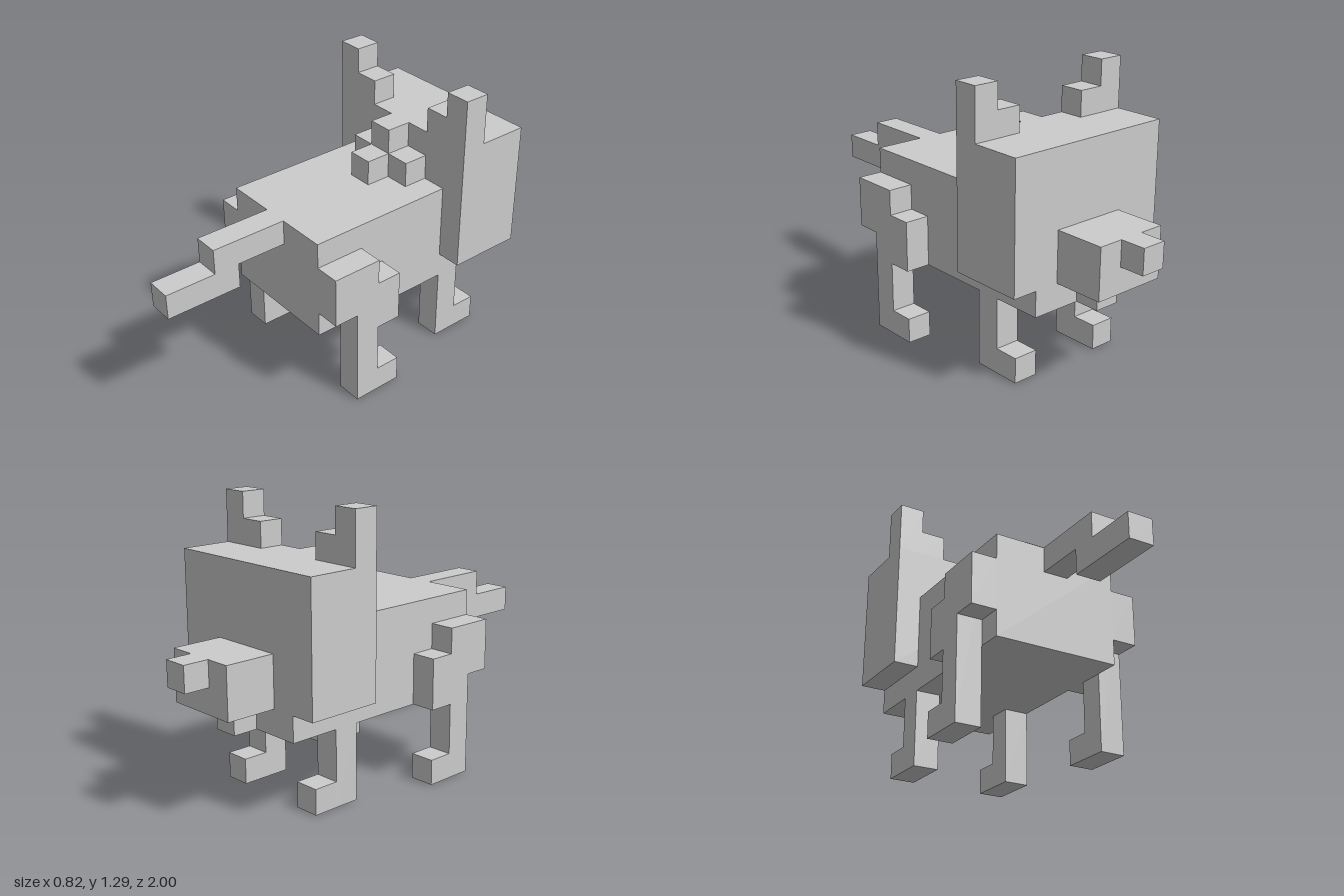
import * as THREE from 'three';

// One cell of the blocky animal: it is 17 cells long.
const U = 2 / 17;
const material = new THREE.MeshStandardMaterial({ color: 0xcccccc, flatShading: true });

// Block from ranges in cells; z is counted from the nose tip to the tail tip.
function block(name, [x0, x1], [y0, y1], [z0, z1]) {
  const geometry = new THREE.BoxGeometry((x1 - x0) * U, (y1 - y0) * U, (z1 - z0) * U);
  const mesh = new THREE.Mesh(geometry, material);
  mesh.position.set((x0 + x1) / 2 * U, (y0 + y1) / 2 * U, (z0 + z1) / 2 * U - 1);
  mesh.name = name;
  return mesh;
}

function part(name, ...meshes) {
  const group = new THREE.Group();
  group.name = name;
  group.add(...meshes);
  return group;
}

export function createModel() {
  const model = new THREE.Group();
  model.name = 'blockAnimal';
  const mid = [-0.5, 0.5];

  model.add(
    part('body',
      block('torso', [-2.5, 2.5], [3, 7], [6, 12]),
      block('chest', [-2.5, 2.5], [3, 4], [3, 6])),
    part('head',
      block('skull', [-3.5, 3.5], [4, 9], [3, 6]),
      block('muzzle', [-1.5, 1.5], [4, 6], [1, 3]),
      block('nose', mid, [5, 6], [0, 1]),
      block('jaw', mid, [3, 4], [2, 3])),
    // Stepped tuft behind the head
    part('mane',
      block('maneCrest', mid, [7, 9], [6, 7]),
      block('maneStep', mid, [7, 8], [7, 8])),
    // Tail drops one cell halfway along
    part('tail',
      block('tailBase', mid, [6, 7], [12, 15]),
      block('tailTip', mid, [5, 6], [14, 17])),
  );

  // Mirrored parts
  for (const [side, s] of [['left', 1], ['right', -1]]) {
    const span = (a, b) => (s > 0 ? [a, b] : [-b, -a]);
    const outer = span(2.5, 3.5);
    const inner = span(1.5, 2.5);
    model.add(
      part(side + 'Ear',
        block('earTip', outer, [9, 11], [5, 6]),
        block('earBase', inner, [9, 10], [5, 6])),
      block(side + 'ManeTuft', span(0.5, 1.5), [7, 8], [6, 7]),
      part(side + 'FrontLeg',
        block('shin', inner, [0, 3], [5, 6]),
        block('foot', inner, [0, 1], [4, 5])),
      part(side + 'HindLeg',
        block('thigh', outer, [4, 6], [11, 12]),
        block('shin', outer, [0, 6], [10, 11]),
        block('knee', outer, [3, 5], [9, 10]),
        block('foot', outer, [0, 1], [9, 10])),
    );
  }
  return model;
}
